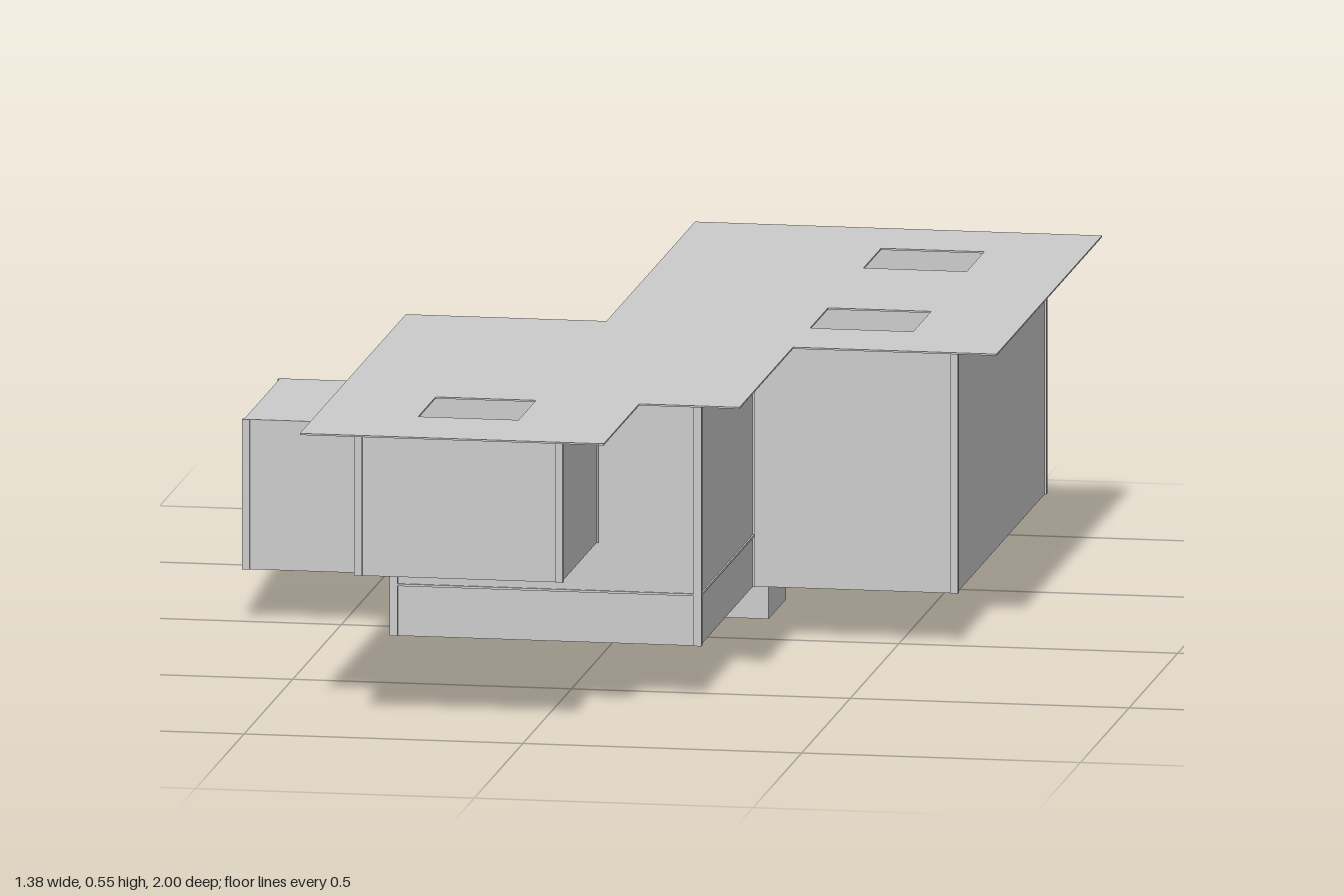
import * as THREE from 'three';

const grey = new THREE.MeshStandardMaterial({ color: 0xcccccc });
const red = new THREE.MeshStandardMaterial({ color: 0xdd1111 });

function box(name, x0, x1, y0, y1, z0, z1, material = grey) {
  const mesh = new THREE.Mesh(new THREE.BoxGeometry(x1 - x0, y1 - y0, z1 - z0), material);
  mesh.position.set((x0 + x1) / 2, (y0 + y1) / 2, (z0 + z1) / 2);
  mesh.name = name;
  return mesh;
}

// Flat plate from a plan outline of [x, z] points, with rectangular holes
function plate(name, outline, y, thickness, holes = []) {
  const toVectors = pts => pts.map(([x, z]) => new THREE.Vector2(x, -z));
  const shape = new THREE.Shape(toVectors(outline));
  for (const [x0, x1, z0, z1] of holes)
    shape.holes.push(new THREE.Path(toVectors([[x0, z0], [x0, z1], [x1, z1], [x1, z0]])));
  const geo = new THREE.ExtrudeGeometry(shape, { depth: thickness, bevelEnabled: false });
  geo.rotateX(-Math.PI / 2);
  const mesh = new THREE.Mesh(geo, grey);
  mesh.position.y = y;
  mesh.name = name;
  return mesh;
}

// Thin wall panels along a plan path, with a slim post at each corner
function walls(name, path, y0, y1) {
  const group = new THREE.Group();
  group.name = name;
  const t = 0.004, p = 0.007;
  path.forEach(([x, z], i) => {
    group.add(box('cornerPost', x - p, x + p, y0, y1, z - p, z + p));
    if (i === path.length - 1) return;
    const [u, w] = path[i + 1];
    const ex = x === u ? t : -p, ez = z === w ? t : -p;
    group.add(box('wallPanel', Math.min(x, u) - ex, Math.max(x, u) + ex, y0, y1,
      Math.min(z, w) - ez, Math.max(z, w) + ez));
  });
  return group;
}

// Door frame made of two jambs, a head and a sill; it stands across the x axis
function doorFrame(name, x, y, z, turn = 0) {
  const group = new THREE.Group();
  group.name = name;
  const d = 0.01, w = 0.07, h = 0.2, b = 0.02;
  group.add(
    box('jamb', -d, d, 0, h, -w, -w + b, red),
    box('jamb', -d, d, 0, h, w - b, w, red),
    box('head', -d, d, h - b, h, -w + b, w - b, red),
    box('sill', -d, d, 0, 0.008, -w + b, w - b, red));
  group.position.set(x, y, z);
  group.rotation.y = turn;
  return group;
}

export function createModel() {
  const house = new THREE.Group();
  house.name = 'house';
  const ground = 0.095, middle = 0.185, upper = 0.275, low = 0.365, top = 0.545;

  // Main roof with three skylights
  house.add(plate('mainRoof', [[-0.04, -1], [0.69, -1], [0.69, 0.085], [0.325, 0.085], [0.325, 0.635],
    [0.145, 0.635], [0.145, 1], [-0.4, 1], [-0.4, -0.09], [-0.04, -0.09]], top - 0.003, 0.003,
  [[0.325, 0.51, -0.82, -0.64], [0.325, 0.51, -0.275, -0.09], [-0.22, -0.04, 0.635, 0.815]]));

  // Stepped low wing around the open courtyard
  const steps = [[-0.67, 0], [-0.67, -0.365], [-0.49, -0.365], [-0.49, -0.545], [-0.31, -0.545], [-0.31, -0.91]];
  const yard = [[0.05, -0.73], [-0.13, -0.73], [-0.13, 0]];
  house.add(plate('lowRoof', [...steps, [0.05, -0.91], ...yard], low - 0.003, 0.003));
  house.add(walls('lowWingOuterWalls', [[-0.31, 0], ...steps, [0.05, -0.91]], ground, low));
  house.add(walls('courtyardWalls', yard, ground, low));

  // Ground floor plate shared by back block and low wing
  house.add(plate('groundFloor', [...steps, [0.6, -0.91], [0.6, 0], [0.05, 0], ...yard], ground, 0.004));

  // Tall back block
  house.add(walls('backBlockWalls', [[0.235, 0], [0.6, 0], [0.6, -0.91], [0.05, -0.91], [0.05, 0]], ground, top));

  // Front wing with its raised floor
  house.add(walls('frontWingWalls', [[0.05, 0], [-0.31, 0], [-0.31, 0.545], [0.235, 0.545], [0.235, 0]], ground, top));
  house.add(box('raisedFloor', -0.317, 0.242, middle, middle + 0.004, 0, 0.552));

  // Overhanging front room
  house.add(walls('frontRoomWalls', [[-0.31, 0.545], [-0.31, 0.91], [0.05, 0.91], [0.05, 0.545]], upper, top));
  house.add(box('frontRoomFloor', -0.31, 0.05, upper, upper + 0.004, 0.545, 0.91));

  // Cellar below the back block
  house.add(box('cellar', 0.05, 0.235, 0, ground, -0.36, -0.18));

  // Indoor stair
  const count = 8, tread = 0.175 / count, rise = (middle - ground) / count;
  for (let i = 0; i < count; i++) {
    const x = 0.41 - i * tread;
    house.add(box('stairStep', x - tread, x, ground, ground + (i + 1) * rise, -0.275, -0.185));
  }

  // Entrance and inner door frames
  house.add(
    doorFrame('entranceDoorFrame', -0.68, ground, -0.275),
    doorFrame('innerDoorFrame', 0.235, ground, -0.65),
    doorFrame('frontRoomDoorFrame', -0.22, upper, 0.55, Math.PI / 2));
  return house;
}
